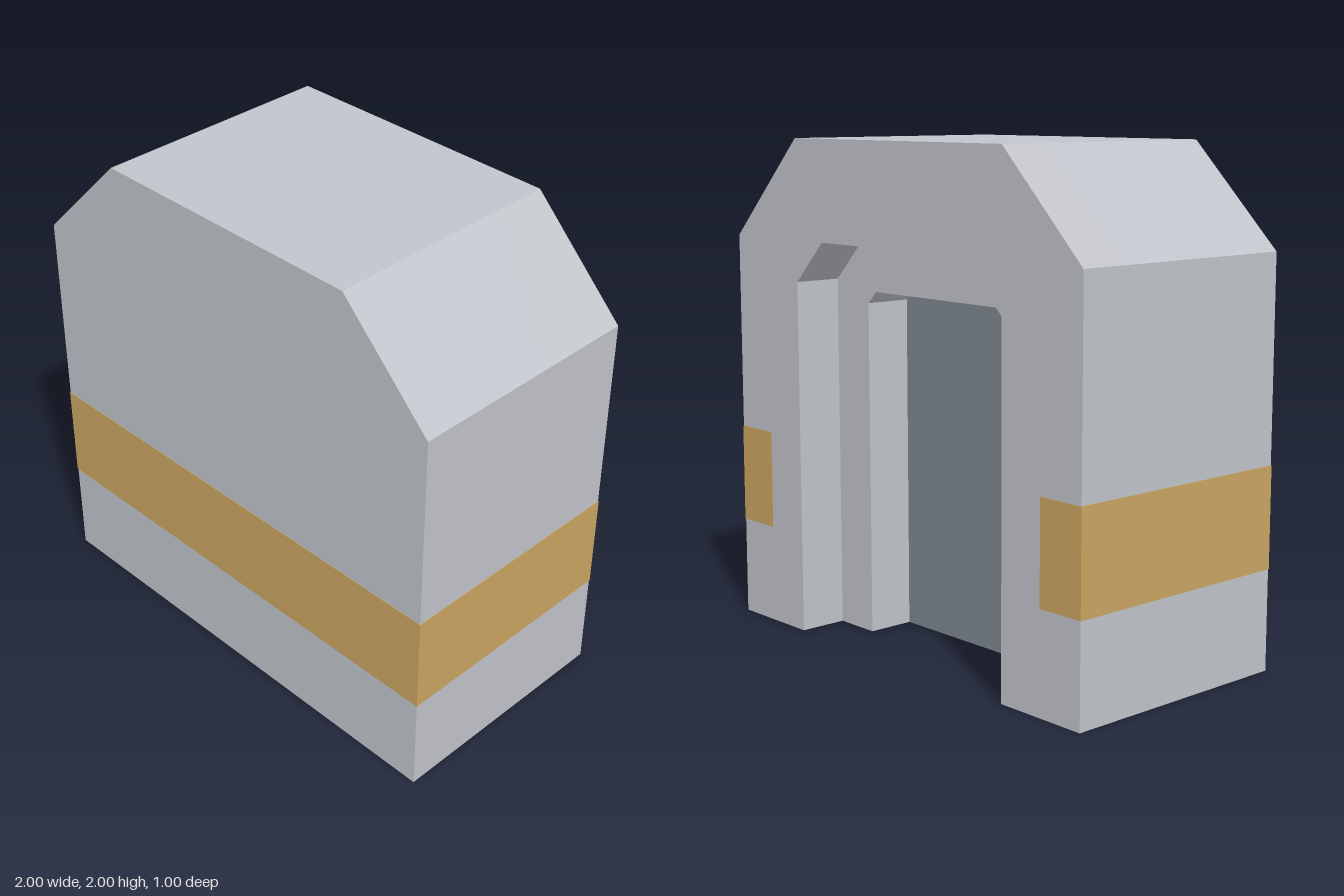
import * as THREE from 'three';

const grey = new THREE.MeshStandardMaterial({ color: 0xc1c4ca });
grey.name = 'light grey';
const ochre = new THREE.MeshStandardMaterial({ color: 0xcaa562 });
ochre.name = 'ochre';
const slate = new THREE.MeshStandardMaterial({ color: 0x7f888f });
slate.name = 'slate';

// Chamfered arch outline, inset evenly by d, from bottom left over the top to bottom right
function arch(d) {
  const w = 1 - d, top = 2 - d, sum = 2.6 - d * Math.SQRT2;
  const right = [[sum - top, top], [w, sum - w], [w, 0]];
  const left = right.map(([x, y]) => [-x, y]).reverse();
  return [...left, ...right].map(([x, y]) => new THREE.Vector2(x, y));
}

function extrude(name, points, depth, material) {
  const geometry = new THREE.ExtrudeGeometry(new THREE.Shape(points), { depth, bevelEnabled: false });
  const mesh = new THREE.Mesh(geometry, material);
  mesh.name = name;
  return mesh;
}

export function createModel() {
  const model = new THREE.Group();
  model.name = 'archedBlock';

  // Solid front, then two frames stepping outwards to the back
  const layers = [
    ['solidBody', arch(0), -0.1, 0.6],
    ['innerFrame', [...arch(0), ...arch(0.6).reverse()], -0.3, 0.2],
    ['outerFrame', [...arch(0), ...arch(0.4).reverse()], -0.5, 0.2],
  ];
  for (const [name, points, z, depth] of layers) {
    const mesh = extrude(name, points, depth, grey);
    mesh.position.z = z;
    model.add(mesh);
  }

  // Panel closing the recess
  const panel = extrude('recessPanel', arch(0.6), 0.004, slate);
  panel.position.z = -0.104;
  model.add(panel);

  // Painted band around front and sides, with short returns on the back
  const t = 0.002;
  const half = [[0.8, 0.5], [0.8, 0.5 + t], [1 + t, 0.5 + t], [1 + t, -0.5 - t]];
  const inner = [[-1, 0.5], [-1, -0.5], [1, -0.5], [1, 0.5]];
  const band = [...half, ...half.map(([x, y]) => [-x, y]).reverse(), ...inner];
  const stripe = extrude('stripe', band.map(([x, y]) => new THREE.Vector2(x, y)), 0.4, ochre);
  stripe.rotation.x = -Math.PI / 2;
  stripe.position.y = 0.4;
  model.add(stripe);

  return model;
}
